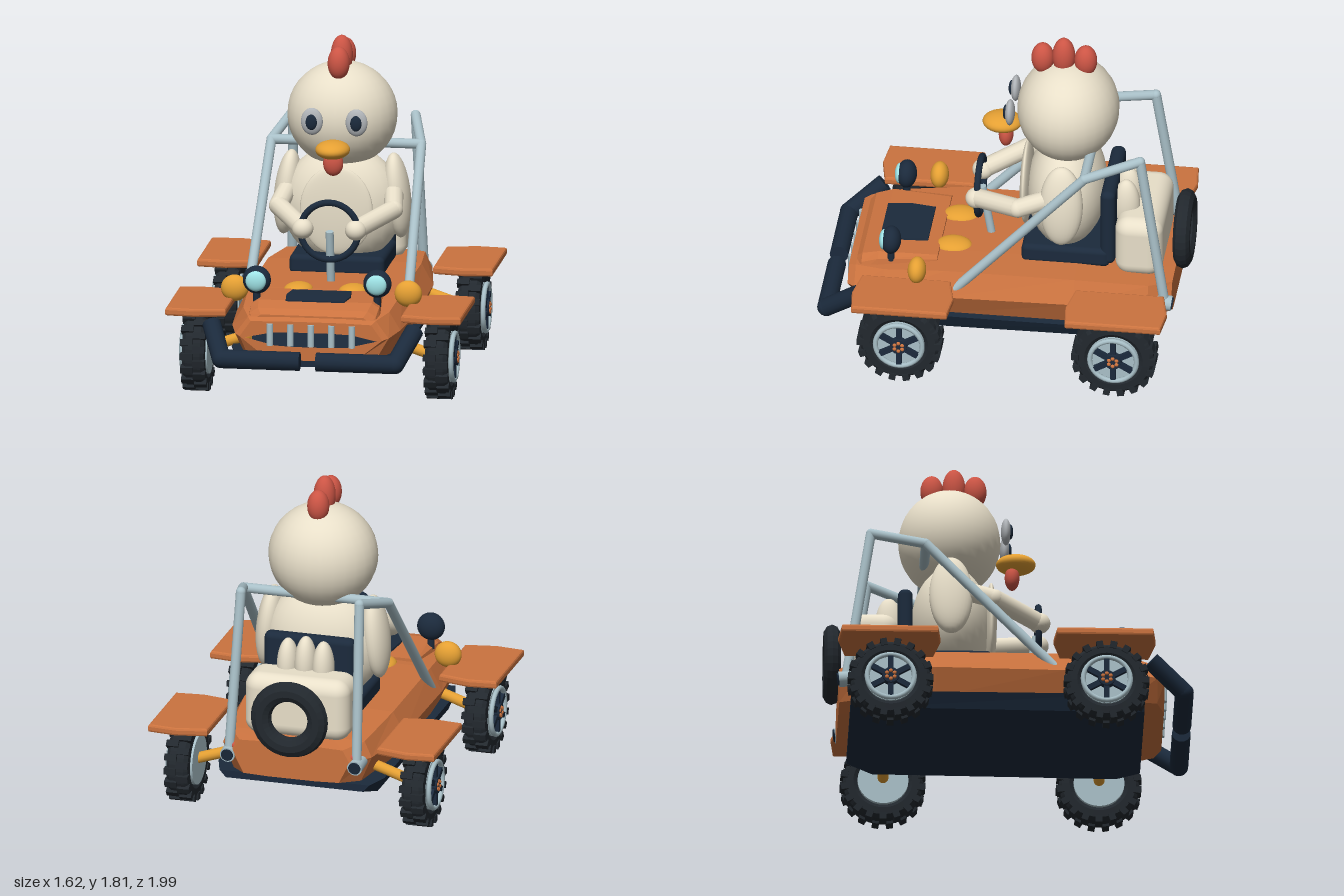
import * as THREE from 'three';
import { RoundedBoxGeometry } from 'three/addons/geometries/RoundedBoxGeometry.js';

const mat = (color, flatShading = false) => new THREE.MeshStandardMaterial({ color, flatShading });
const orange = mat(0xcb733f, true), dark = mat(0x1b2a3c), cream = mat(0xe8dfc9), silver = mat(0xa9c0c8);
const yellow = mat(0xe5a033), red = mat(0xcc5545), rubber = mat(0x22282e, true), lensBlue = mat(0xa0e5e8);
const eyeGrey = mat(0xb0b4b8), darkFlat = mat(0x1b2a3c, true);
const V = (x, y, z) => new THREE.Vector3(x, y, z);

function add(parent, name, geometry, material, x = 0, y = 0, z = 0) {
  const mesh = new THREE.Mesh(geometry, material);
  mesh.name = name;
  mesh.position.set(x, y, z);
  parent.add(mesh);
  return mesh;
}

function ellipsoid(parent, name, material, pos, radii) {
  const mesh = add(parent, name, new THREE.SphereGeometry(1, 28, 20), material, ...pos);
  mesh.scale.set(...radii);
  return mesh;
}

// Straight round bar between two points
function bar(parent, name, material, a, b, r0, r1 = r0, sides = 14) {
  const mesh = add(parent, name, new THREE.CylinderGeometry(r1, r0, a.distanceTo(b), sides), material);
  mesh.position.copy(a).lerp(b, 0.5);
  mesh.quaternion.setFromUnitVectors(V(0, 1, 0), b.clone().sub(a).normalize());
  return mesh;
}

// Bent pipe: bars joined with balls
function pipe(parent, name, material, points, r) {
  for (let i = 0; i < points.length - 1; i++) {
    bar(parent, name, material, points[i], points[i + 1], r);
    if (i) ellipsoid(parent, name + 'Joint', material, points[i].toArray(), [r, r, r]);
  }
}

// Skin along z; each section is [z, ...half profile from bottom to top], mirrored in x
function loft(sections, capFront) {
  const rings = sections.map(([z, ...half]) => [
    ...half.map(([x, y]) => [x, y, z]),
    ...half.slice().reverse().map(([x, y]) => [-x, y, z]),
  ]);
  const n = rings[0].length, index = [];
  for (let i = 0; i < rings.length - 1; i++) {
    for (let j = 0; j < n; j++) {
      const a = i * n + j, b = i * n + (j + 1) % n;
      index.push(a, b, a + n, b, b + n, a + n);
    }
  }
  const last = (rings.length - 1) * n;
  for (let j = 1; j < n - 1; j++) {
    index.push(0, j + 1, j);
    if (capFront) index.push(last, last + j, last + j + 1);
  }
  const g = new THREE.BufferGeometry();
  g.setAttribute('position', new THREE.Float32BufferAttribute(rings.flat(2), 3));
  g.setIndex(index);
  g.computeVertexNormals();
  return g;
}

// Wheel with its outer side toward +x
function makeWheel() {
  const wheel = new THREE.Group();
  wheel.name = 'wheel';
  const profile = [[0.135, -0.045], [0.16, -0.062], [0.2, -0.06], [0.217, -0.04], [0.217, 0.04],
    [0.2, 0.06], [0.16, 0.062], [0.135, 0.045], [0.135, -0.045]].map(p => new THREE.Vector2(...p));
  add(wheel, 'tyre', new THREE.LatheGeometry(profile, 36).rotateZ(-Math.PI / 2), rubber);
  for (let i = 0; i < 36; i++) {
    const side = i % 2 ? 1 : -1, a = i * Math.PI / 18;
    const block = add(wheel, 'treadBlock', new THREE.BoxGeometry(0.068, 0.04, 0.036), rubber,
      side * 0.033, Math.cos(a) * 0.211, Math.sin(a) * 0.211);
    block.rotation.x = a;
  }
  // Rim, spokes and hub
  add(wheel, 'rim', new THREE.CylinderGeometry(0.138, 0.138, 0.125, 32).rotateZ(-Math.PI / 2), silver, -0.005);
  add(wheel, 'rimRing', new THREE.TorusGeometry(0.128, 0.014, 8, 32).rotateY(Math.PI / 2), silver, 0.072);
  add(wheel, 'hub', new THREE.CylinderGeometry(0.045, 0.05, 0.04, 16).rotateZ(-Math.PI / 2), darkFlat, 0.07);
  for (let i = 0; i < 6; i++) {
    const a = i * Math.PI / 3;
    const spoke = add(wheel, 'spoke', new THREE.BoxGeometry(0.03, 0.09, 0.03), darkFlat,
      0.066, Math.cos(a) * 0.075, Math.sin(a) * 0.075);
    spoke.rotation.x = a;
    ellipsoid(wheel, 'wheelBolt', orange, [0.09, Math.cos(a) * 0.024, Math.sin(a) * 0.024], [0.008, 0.011, 0.011]);
  }
  return wheel;
}

function makeFender(s) {
  const pts = [[-0.15, -0.23], [0.01, -0.265], [0.155, -0.25], [0.155, 0.25], [0.01, 0.265], [-0.15, 0.235]];
  const shape = new THREE.Shape(pts.map(([x, z]) => new THREE.Vector2(x * s, z)));
  return new THREE.ExtrudeGeometry(shape, {
    depth: 0.02, bevelEnabled: true, bevelSize: 0.012, bevelThickness: 0.012, bevelSegments: 2,
  }).rotateX(Math.PI / 2);
}

function makeBuggy() {
  const car = new THREE.Group();
  car.name = 'buggy';
  // Body shell with an open, lens-shaped nose
  const hull = [
    [-0.92, 0.27, 0.29, 0.33, 0.41, 0.29, 0.48], [-0.8, 0.36, 0.27, 0.42, 0.41, 0.38, 0.5],
    [-0.4, 0.42, 0.26, 0.485, 0.41, 0.42, 0.53], [0.3, 0.42, 0.26, 0.485, 0.4, 0.42, 0.53],
    [0.64, 0.4, 0.26, 0.46, 0.4, 0.4, 0.5], [0.8, 0.35, 0.27, 0.42, 0.39, 0.35, 0.485],
    [0.84, 0.24, 0.265, 0.39, 0.385, 0.33, 0.47], [0.84, 0.2, 0.34, 0.36, 0.38, 0.22, 0.41],
  ].map(([z, xb, yb, xm, ym, xt, yt]) =>
    [z, [xb * 0.5, yb - 0.005], [xb, yb], [xm, ym], [xt, yt], [xt * 0.5, yt + 0.005]]);
  add(car, 'bodyShell', loft(hull, false), orange);
  const floor = (z, k, y) => [z, [0.43 * k, y], [0.47 * k, 0.27]];
  add(car, 'floorPan', loft([floor(-0.86, 0.9, 0.23), floor(-0.72, 1, 0.19), floor(0.6, 1, 0.18),
    floor(0.73, 0.92, 0.2)], true), darkFlat);
  add(car, 'hood', loft([
    [0.36, [0.33, 0.47], [0.32, 0.535], [0.29, 0.545]], [0.68, [0.365, 0.46], [0.35, 0.53], [0.31, 0.555]],
    [0.77, [0.36, 0.45], [0.345, 0.5], [0.3, 0.53]], [0.8, [0.33, 0.45], [0.32, 0.47], [0.28, 0.5]],
  ], true), orange);
  add(car, 'hoodPanel', loft([
    [0.43, [0.165, 0.53], [0.16, 0.558]], [0.56, [0.18, 0.53], [0.175, 0.561]], [0.69, [0.165, 0.53], [0.16, 0.56]],
  ], true), darkFlat);
  for (let i = -2; i <= 2; i++) {
    bar(car, 'grilleBar', silver, V(i * 0.112, 0.34, 0.84), V(i * 0.112, 0.46, 0.84), 0.018);
  }
  // Seat and luggage
  add(car, 'seatCushion', new RoundedBoxGeometry(0.52, 0.11, 0.48, 3, 0.03), dark, 0, 0.57, -0.33);
  add(car, 'seatBack', new RoundedBoxGeometry(0.51, 0.46, 0.08, 3, 0.035), dark, 0, 0.76, -0.56);
  add(car, 'luggageSack', new RoundedBoxGeometry(0.59, 0.35, 0.26, 5, 0.08), cream, 0, 0.66, -0.73);
  add(car, 'spareTyre', new THREE.TorusGeometry(0.16, 0.058, 10, 32).scale(1, 1, 0.82), rubber, 0, 0.64, -0.952);
  // Steering
  add(car, 'steeringWheel', new THREE.TorusGeometry(0.158, 0.018, 10, 32), dark, 0, 0.825, 0.165);
  bar(car, 'steeringColumn', silver, V(0, 0.5, 0.1), V(0, 0.82, 0.155), 0.022);
  bar(car, 'rollCageCrossbar', silver, V(-0.41, 1.18, -0.455), V(0.41, 1.18, -0.455), 0.027);

  for (const s of [1, -1]) {
    // Wheels, axles and fenders
    for (const z of [0.515, -0.655]) {
      const wheel = makeWheel();
      wheel.position.set(s * 0.665, 0.235, z);
      if (s < 0) wheel.rotation.y = Math.PI;
      car.add(wheel);
      bar(car, 'axle', yellow, V(s * 0.38, 0.32, z), V(s * 0.62, 0.24, z), 0.03);
      add(car, 'fender', makeFender(s), orange, s * 0.642, 0.498, z < 0 ? -0.66 : 0.505);
    }
    // Roll cage and bumper
    pipe(car, 'rollCage', silver, [V(s * 0.44, 0.42, 0.26), V(s * 0.41, 1.18, -0.455),
      V(s * 0.335, 1.27, -0.75), V(s * 0.36, 0.4, -0.885)], 0.027);
    pipe(car, 'bumper', dark, [V(s * 0.555, 0.43, 0.76), V(s * 0.475, 0.28, 0.943), V(s * 0.045, 0.28, 0.943)], 0.051);
    // Exhausts and lamps
    bar(car, 'exhaust', silver, V(s * 0.36, 0.4, -0.78), V(s * 0.36, 0.385, -0.925), 0.042);
    bar(car, 'exhaustTip', dark, V(s * 0.36, 0.39, -0.9), V(s * 0.36, 0.385, -0.932), 0.034);
    ellipsoid(car, 'tailLight', red, [s * 0.315, 0.43, -0.875], [0.045, 0.025, 0.03]);
    ellipsoid(car, 'headlight', dark, [s * 0.33, 0.648, 0.61], [0.077, 0.077, 0.055]);
    ellipsoid(car, 'headlightLens', lensBlue, [s * 0.33, 0.648, 0.65], [0.056, 0.056, 0.025]);
    bar(car, 'headlightStand', dark, V(s * 0.33, 0.52, 0.61), V(s * 0.33, 0.6, 0.61), 0.02);
    ellipsoid(car, 'indicator', yellow, [s * 0.475, 0.56, 0.45], [0.075, 0.073, 0.05]);
  }
  return car;
}

function makeDriver() {
  const bird = new THREE.Group();
  bird.name = 'chickenDriver';
  ellipsoid(bird, 'torso', cream, [0, 0.87, -0.31], [0.33, 0.33, 0.215]);
  ellipsoid(bird, 'belly', cream, [0, 0.88, -0.09], [0.2, 0.245, 0.032]);
  ellipsoid(bird, 'head', cream, [0, 1.37, -0.315], [0.3, 0.29, 0.277]);
  [[-0.175, 1.68, 0.09], [-0.29, 1.7, 0.11], [-0.41, 1.68, 0.09]].forEach(([z, y, r]) =>
    ellipsoid(bird, 'comb', red, [0, y, z], [0.06, r, 0.062]));
  ellipsoid(bird, 'beak', yellow, [0, 1.25, 0.045], [0.094, 0.05, 0.108]);
  ellipsoid(bird, 'wattle', red, [0, 1.17, 0.025], [0.055, 0.07, 0.04]);
  for (const x of [-0.1, 0, 0.1]) {
    ellipsoid(bird, 'tailFeather', cream, [x, x ? 0.83 : 0.85, -0.645], [0.06, 0.16, 0.075]);
  }
  for (const s of [1, -1]) {
    ellipsoid(bird, 'eye', eyeGrey, [s * 0.122, 1.39, -0.012], [0.06, 0.075, 0.027]);
    ellipsoid(bird, 'pupil', dark, [s * 0.122, 1.39, 0.012], [0.031, 0.043, 0.015]);
    // Wing, arm and foot
    const wing = ellipsoid(bird, 'wing', cream, [s * 0.3, 0.925, -0.315], [0.072, 0.235, 0.118]);
    wing.rotation.z = s * 0.1;
    pipe(bird, 'arm', cream, [V(s * 0.29, 0.96, -0.25), V(s * 0.315, 0.9, -0.08), V(s * 0.15, 0.84, 0.16)], 0.052);
    ellipsoid(bird, 'hand', cream, [s * 0.145, 0.836, 0.17], [0.058, 0.056, 0.058]);
    ellipsoid(bird, 'foot', yellow, [s * 0.15, 0.525, 0.29], [0.08, 0.04, 0.1]);
  }
  return bird;
}

export function createModel() {
  const model = new THREE.Group();
  model.name = 'chickenBuggy';
  model.add(makeBuggy(), makeDriver());
  return model;
}
